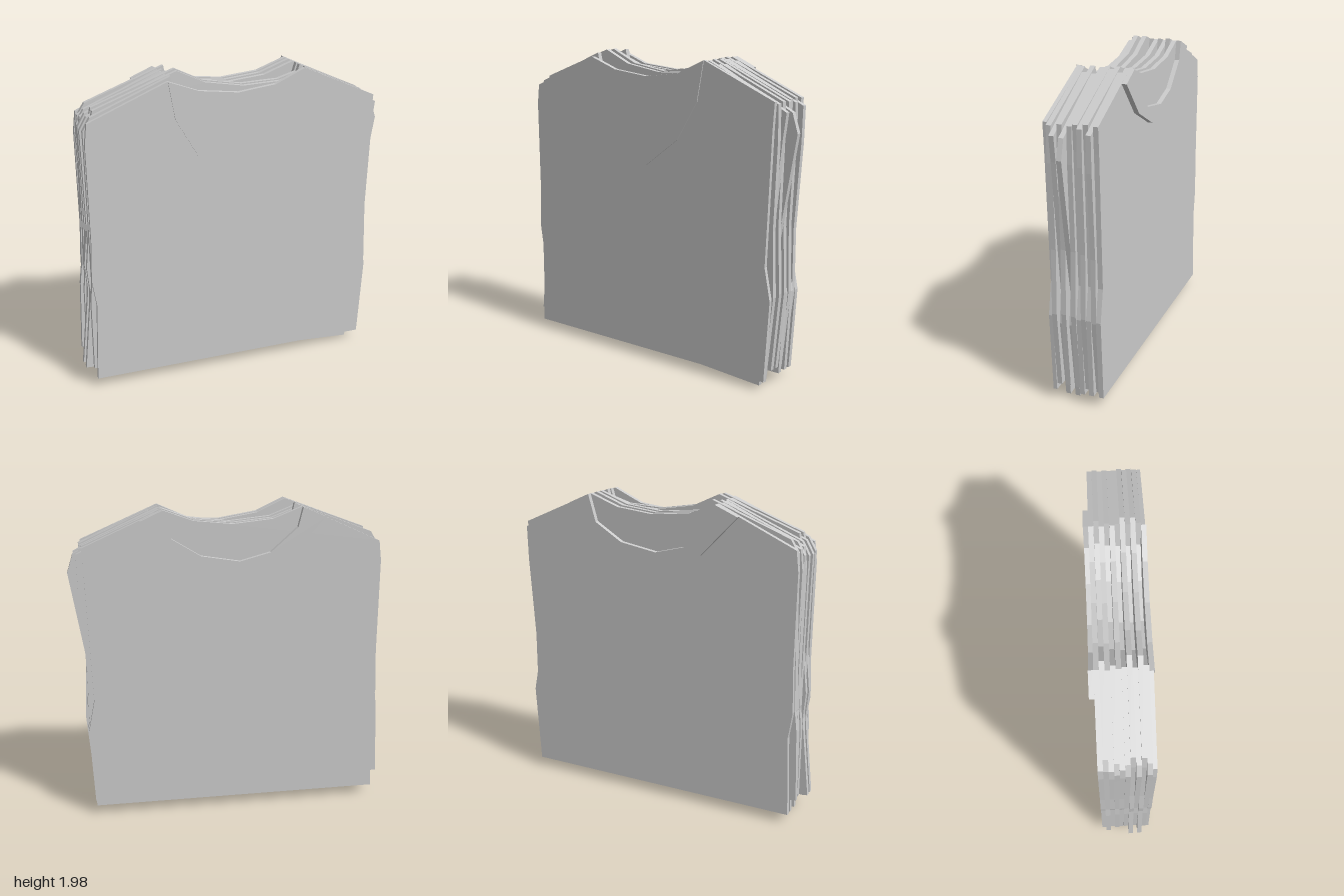
import * as THREE from 'three';

const material = new THREE.MeshStandardMaterial({ color: 0xcccccc, flatShading: true });

// Flat slab of cloth cut from an outline, spanning z to z + depth
function slab(name, points, z, depth) {
  const shape = new THREE.Shape(points.map(([x, y]) => new THREE.Vector2(x, y)));
  const geometry = new THREE.ExtrudeGeometry(shape, { depth, bevelEnabled: false });
  geometry.translate(0, 0, z);
  const mesh = new THREE.Mesh(geometry, material);
  mesh.name = name;
  return mesh;
}

// Side edges from hem to shoulder: body panels, then the shorter folded-in layers
const rightEdges = [
  [[0.885, 0.06], [0.915, 0.57], [0.875, 0.77], [0.905, 1.58], [0.915, 1.735]],
  [[0.89, 0.11], [0.93, 0.6], [0.91, 1.0], [0.92, 1.52], [0.915, 1.735]],
];
const leftEdges = [
  [[-0.93, 1.725], [-0.945, 1.6], [-0.94, 1.0], [-0.95, 0.74], [-0.925, 0.57], [-0.945, 0.06]],
  [[-0.915, 1.74], [-0.96, 1.66], [-0.955, 1.5], [-0.94, 0.7], [-0.95, 0.57], [-0.945, 0.11]],
];

// Necklines, from the right shoulder to the left
const neckShallow = [[0.43, 1.95], [0.24, 1.88], [0, 1.855], [-0.25, 1.88], [-0.43, 1.95]];
const neckDeep = [[0.43, 1.95], [0.38, 1.78], [0.2, 1.67], [-0.04, 1.63],
  [-0.23, 1.68], [-0.4, 1.83], [-0.43, 1.95]];
const neckFront = [[0.43, 1.945], [0.24, 1.86], [0, 1.83], [-0.25, 1.86], [-0.44, 1.93]];

const outline = (variant, neck) => [...rightEdges[variant], ...neck, ...leftEdges[variant]];

// Turn an outline a little about the middle of the stack
function turn(points, a) {
  const c = Math.cos(a), s = Math.sin(a);
  return points.map(([x, y]) => [x * c - (y - 1) * s, 1 + x * s + (y - 1) * c]);
}

export function createModel() {
  const group = new THREE.Group();
  group.name = 'foldedShirtStack';

  // Body panels alternate with shorter, deep-necked folds, each laid slightly askew
  const t = 0.03;
  const angles = [0, -0.045, 0.005, -0.02, 0, -0.01, -0.07, -0.005, -0.065, -0.015];
  angles.forEach((angle, i) => {
    const points = outline(i % 2, i % 2 ? neckDeep : neckShallow);
    // One sleeve fold sticks out of the stack
    if (i === 6) points.splice(3, 1, [0.9, 1.0], [0.96, 1.62]);
    group.add(slab('foldedLayer' + (i + 1), turn(points, angle), -0.15 + t * i, t));
  });

  // Front shirt, with a slightly raised pointed inset at the neck
  group.add(slab('frontPanel', outline(0, neckFront), 0.15, 0.024));
  const inset = [...neckFront, [-0.4, 1.7], [-0.26, 1.46], [0, 1.28], [0.24, 1.46], [0.385, 1.7]];
  group.add(slab('neckInset', inset, 0.174, 0.006));

  // Raised collar band on the back
  const collar = [
    [0.565, 1.889], [0.36, 1.67], [0.12, 1.55], [-0.08, 1.54], [-0.34, 1.64], [-0.575, 1.889],
    ...[...neckDeep].reverse(),
  ];
  group.add(slab('backCollar', collar, -0.18, t));

  return group;
}
